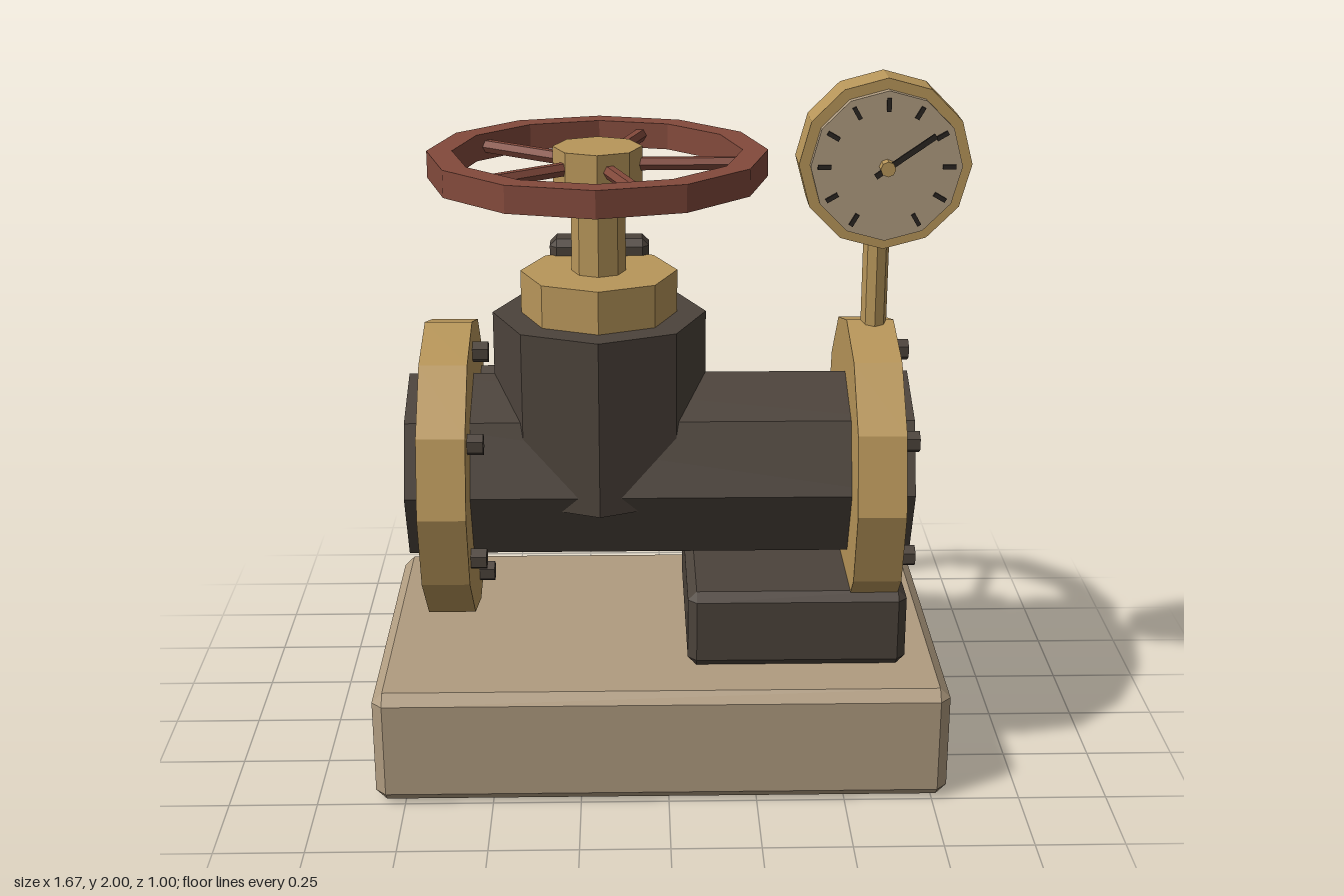
import * as THREE from 'three';
import { ConvexGeometry } from 'three/addons/geometries/ConvexGeometry.js';

const flat = (name, color) => {
  const m = new THREE.MeshStandardMaterial({ color, flatShading: true });
  m.name = name;
  return m;
};

// Box with flat 45 degree chamfers on every edge
function chamferBox(w, h, d, c) {
  const pts = [];
  for (const x of [-1, 1]) for (const y of [-1, 1]) for (const z of [-1, 1]) {
    const X = x * w / 2, Y = y * h / 2, Z = z * d / 2;
    pts.push(
      new THREE.Vector3(X, Y - y * c, Z - z * c),
      new THREE.Vector3(X - x * c, Y, Z - z * c),
      new THREE.Vector3(X - x * c, Y - y * c, Z));
  }
  return new ConvexGeometry(pts);
}

export function createModel() {
  const model = new THREE.Group();
  model.name = 'valveWithGauge';

  const brass = flat('brass', 0xb8965a);
  const iron = flat('darkIron', 0x4c433b);
  const red = flat('redPaint', 0x834a3c);
  const stone = flat('paleStone', 0xb09c80);
  const black = flat('blackMarking', 0x2a2521);

  const add = (name, geo, mat, x, y, z, parent = model) => {
    const m = new THREE.Mesh(geo, mat);
    m.name = name;
    m.position.set(x, y, z);
    parent.add(m);
    return m;
  };
  const cyl = (r, len, sides) => new THREE.CylinderGeometry(r, r, len, sides);
  const cylX = (r, len, sides) => cyl(r, len, sides).rotateZ(Math.PI / 2);
  const cylZ = (r, len, sides) => cyl(r, len, sides).rotateX(Math.PI / 2);
  // Upright cylinder between two heights
  const post = (name, r, y0, y1, sides, mat, x, z = 0) =>
    add(name, cyl(r, y1 - y0, sides), mat, x, (y0 + y1) / 2, z);

  // Base and support block
  add('base', chamferBox(1.63, 0.337, 1, 0.03), stone, -0.02, 0.1685, 0);
  add('supportBlock', chamferBox(0.625, 0.23, 0.67, 0.025), iron, 0.37, 0.452, 0);

  // Pipe with two bolted flanges
  const pipeY = 0.843;
  add('pipe', cylX(0.28, 1.44, 8), iron, -0.02, pipeY, 0);
  for (const [side, x] of [['right', -0.6225], ['left', 0.5875]]) {
    const flange = new THREE.Group();
    flange.name = side + 'Flange';
    flange.position.set(x, pipeY, 0);
    model.add(flange);
    add('flangeDisc', cylX(0.435, 0.135, 12), brass, 0, 0, 0, flange);
    const boltGeo = cyl(0.031, 0.07, 6).rotateY(Math.PI / 6).rotateZ(Math.PI / 2);
    for (let i = 0; i < 6; i++) {
      const a = i * Math.PI / 3;
      add('bolt', boltGeo, iron, 0.077, 0.345 * Math.cos(a), 0.345 * Math.sin(a), flange);
    }
  }

  // Valve body, bonnet and stem
  const valveX = -0.19;
  post('valveBody', 0.305, 0.795, 1.307, 8, iron, valveX);
  post('bonnet', 0.223, 1.3, 1.43, 8, brass, valveX);
  post('valveStem', 0.077, 1.42, 1.7, 8, brass, valveX);
  add('rearTab', chamferBox(0.29, 0.122, 0.1, 0.02), iron, valveX, 1.415, -0.2);

  // Handwheel
  const wheel = new THREE.Group();
  wheel.name = 'handwheel';
  wheel.position.set(valveX, 1.738, 0);
  model.add(wheel);
  const ring = r => Array.from({ length: 12 }, (_, i) =>
    new THREE.Vector2(r * Math.cos(i * Math.PI / 6), r * Math.sin(i * Math.PI / 6)));
  const rimShape = new THREE.Shape(ring(0.476));
  rimShape.holes.push(new THREE.Path(ring(0.405)));
  const rimGeo = new THREE.ExtrudeGeometry(rimShape, { depth: 0.076, bevelEnabled: false });
  rimGeo.translate(0, 0, -0.038).rotateX(-Math.PI / 2);
  add('rim', rimGeo, red, 0, 0, 0, wheel);
  add('hub', cyl(0.125, 0.1, 8), brass, 0, 0, 0, wheel);
  const spokeGeo = cylX(0.02, 0.34, 6).translate(0.25, 0, 0);
  for (let i = 0; i < 5; i++) {
    add('spoke', spokeGeo, red, 0, 0, 0, wheel).rotation.y = i * Math.PI * 2 / 5;
  }

  // Pressure gauge
  const gaugeX = 0.597;
  post('gaugeStem', 0.037, 1.2, 1.655, 8, brass, gaugeX);
  const gauge = new THREE.Group();
  gauge.name = 'gauge';
  gauge.position.set(gaugeX, 1.765, 0);
  model.add(gauge);
  add('gaugeCase', cylZ(0.237, 0.127, 12), brass, 0, 0, 0.0835, gauge);
  add('dial', cylZ(0.207, 0.03, 12), stone, 0, 0, 0.157, gauge);
  const tickGeo = new THREE.BoxGeometry(0.036, 0.012, 0.009).translate(0.17, 0, 0);
  for (let i = -2; i <= 8; i++) {
    add('tick', tickGeo, black, 0, 0, 0.176, gauge).rotation.z = i * Math.PI / 6;
  }
  const needleGeo = new THREE.BoxGeometry(0.195, 0.015, 0.009).translate(0.058, 0, 0);
  add('needle', needleGeo, black, 0, 0, 0.196, gauge).rotation.z = 0.61;
  add('needleHub', cylZ(0.021, 0.04, 8), brass, 0, 0, 0.187, gauge);

  return model;
}
